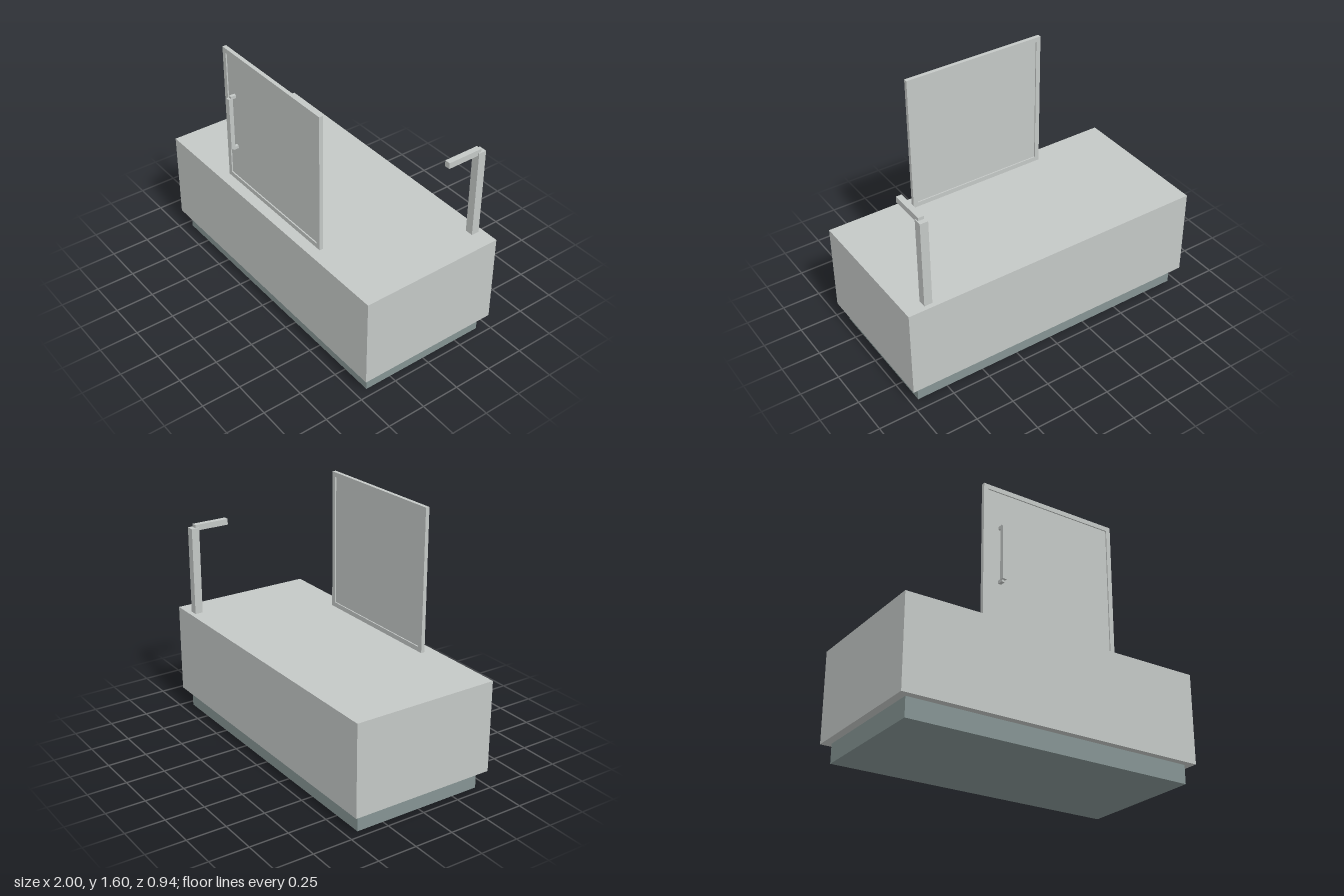
import * as THREE from 'three';

export function createModel() {
  const model = new THREE.Group();
  model.name = 'kitchenIsland';

  const lightGrey = new THREE.MeshStandardMaterial({ color: 0xc4c8c6 });
  lightGrey.name = 'lightGrey';
  const slateGrey = new THREE.MeshStandardMaterial({ color: 0x859493 });
  slateGrey.name = 'slateGrey';

  // Box given by its minimum and maximum corners
  function box(parent, name, material, [x0, y0, z0], [x1, y1, z1]) {
    const mesh = new THREE.Mesh(new THREE.BoxGeometry(x1 - x0, y1 - y0, z1 - z0), material);
    mesh.position.set((x0 + x1) / 2, (y0 + y1) / 2, (z0 + z1) / 2);
    mesh.name = name;
    parent.add(mesh);
  }

  function group(name) {
    const g = new THREE.Group();
    g.name = name;
    model.add(g);
    return g;
  }

  // Recessed base and main body
  box(model, 'plinth', slateGrey, [-0.95, 0, -0.425], [0.95, 0.12, 0.425]);
  box(model, 'body', lightGrey, [-1, 0.12, -0.47], [1, 0.7, 0.47]);

  // Upright door: a thin frame around a slightly recessed pane
  const door = group('door');
  const w = 0.468, bottom = 0.7, top = 1.6, back = 0.375, front = 0.4, rim = 0.03;
  const outline = new THREE.Shape([
    new THREE.Vector2(-w, bottom), new THREE.Vector2(w, bottom),
    new THREE.Vector2(w, top), new THREE.Vector2(-w, top),
  ]);
  outline.holes.push(new THREE.Path([
    new THREE.Vector2(-w + rim, bottom + rim), new THREE.Vector2(-w + rim, top - rim),
    new THREE.Vector2(w - rim, top - rim), new THREE.Vector2(w - rim, bottom + rim),
  ]));
  const frame = new THREE.Mesh(
    new THREE.ExtrudeGeometry(outline, { depth: front - back, bevelEnabled: false }), lightGrey);
  frame.position.z = back;
  frame.name = 'doorFrame';
  door.add(frame);
  box(door, 'doorPane', lightGrey,
    [-w + rim, bottom + rim, back + 0.008], [w - rim, top - rim, front - 0.008]);

  // Door handle: upright bar on two short mounts
  const handle = group('doorHandle');
  box(handle, 'handleBar', lightGrey, [-0.37, 0.97, 0.426], [-0.342, 1.318, 0.453]);
  for (const y of [0.957, 1.311]) {
    box(handle, 'handleMount', lightGrey, [-0.366, y, 0.4], [-0.346, y + 0.02, 0.437]);
  }

  // Tap: square post with a spout reaching forward
  const tap = group('tap');
  box(tap, 'tapPost', lightGrey, [0.83, 0.7, -0.44], [0.882, 1.27, -0.388]);
  box(tap, 'tapSpout', lightGrey, [0.838, 1.252, -0.41], [0.874, 1.29, -0.178]);

  return model;
}
